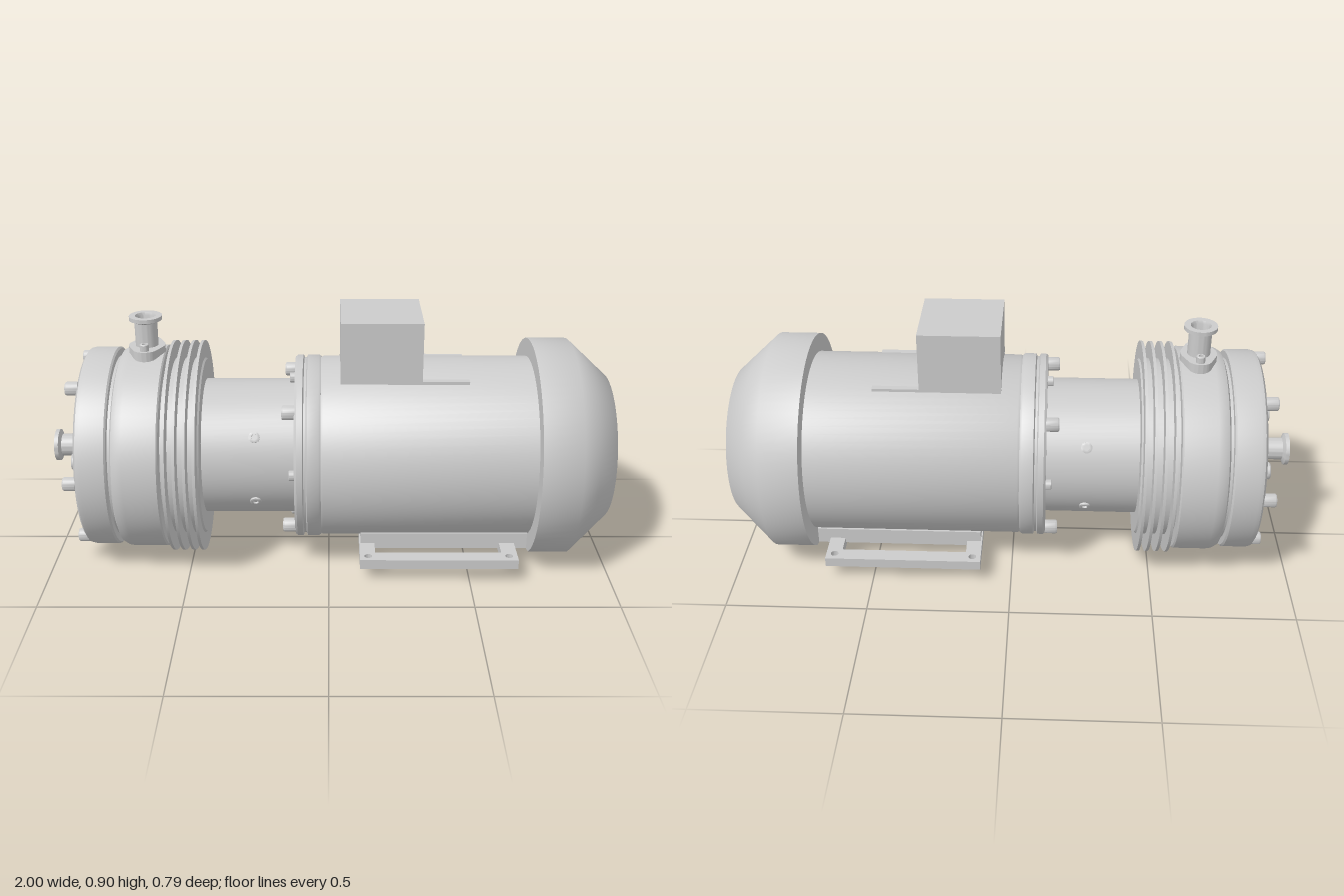
import * as THREE from 'three';
import { toCreasedNormals } from 'three/addons/utils/BufferGeometryUtils.js';

const AXIS = 0.387; // height of the shaft line
const FLOOR = 0.055; // flat underside of the motor
const grey = new THREE.MeshStandardMaterial({ color: 0xcccccc });

export function createModel() {
  const model = new THREE.Group();

  const add = (name, geometry, x = 0, y = 0, z = 0, parent = model) => {
    const mesh = new THREE.Mesh(geometry, grey);
    mesh.name = name;
    mesh.position.set(x, y, z);
    parent.add(mesh);
    return mesh;
  };
  const group = (name) => {
    const g = new THREE.Group();
    g.name = name;
    model.add(g);
    return g;
  };
  const lathe = (points, segments) =>
    new THREE.LatheGeometry(points.map(([r, h]) => new THREE.Vector2(r, h)), segments);

  // Turned part along the shaft; profile is [radius, x] from the pump end to the fan end
  const turned = (name, profile, { crease = 0.6, segments = 72, clip = false, stretch = 1 } = {}) => {
    const geo = lathe(profile, segments).rotateZ(-Math.PI / 2).scale(1, 1, stretch).translate(0, AXIS, 0);
    if (clip) {
      const p = geo.attributes.position;
      for (let i = 0; i < p.count; i++) p.setY(i, Math.max(p.getY(i), FLOOR));
    }
    return add(name, toCreasedNormals(geo, crease));
  };

  // Socket-head screw pointing up, standing on y = 0
  const screwGeometry = (r, h) => toCreasedNormals(lathe([
    [0, 0], [r, 0], [r, h * 0.9], [r * 0.88, h], [r * 0.5, h], [r * 0.5, h * 0.5], [0, h * 0.5],
  ], 16), 0.6);
  const axialScrew = (parent, name, x, radius, angle, r, h) => {
    const geo = screwGeometry(r, h).rotateZ(Math.PI / 2);
    add(name, geo, x, AXIS + radius * Math.sin(angle), radius * Math.cos(angle), parent);
  };

  // Hollow pipe stub with a clamp lip, standing on y = 0
  const stubGeometry = (h) => toCreasedNormals(lathe([
    [0.04, 0], [0.04, h - 0.022], [0.058, h - 0.014], [0.058, h], [0.036, h],
    [0.032, h - 0.01], [0.032, 0.01], [0, 0.01],
  ], 40), 0.6);

  // Motor with its grooved flange
  turned('motorBody', [
    [0, -0.03], [0.322, -0.03], [0.327, -0.02], [0.327, 0.73], [0, 0.73],
  ], { clip: true });
  turned('motorFlange', [
    [0, -0.12], [0.325, -0.12], [0.332, -0.112], [0.332, -0.092], [0.322, -0.088], [0.322, -0.08],
    [0.332, -0.076], [0.332, -0.036], [0.327, -0.028], [0, -0.028],
  ], { clip: true });
  turned('fanCover', [
    [0, 0.72], [0.393, 0.72], [0.393, 0.86], [0.332, 0.926], [0.263, 1], [0, 1],
  ], { crease: 1, clip: true });

  // Terminal box and the pad under it
  add('terminalBox', new THREE.BoxGeometry(0.285, 0.25, 0.29), 0.183, 0.775, 0);
  add('terminalPad', new THREE.BoxGeometry(0.45, 0.09, 0.29), 0.265, 0.645, 0);

  // Open foot frame with corner bolt holes
  const frame = new THREE.Shape();
  const rect = (path, a, b) => path.moveTo(-a, -b).lineTo(a, -b).lineTo(a, b).lineTo(-a, b).closePath();
  rect(frame, 0.28, 0.333);
  frame.holes.push(rect(new THREE.Path(), 0.225, 0.278));
  for (const sx of [-1, 1]) for (const sz of [-1, 1]) {
    const hole = new THREE.Path();
    hole.absarc(sx * 0.25, sz * 0.303, 0.014, 0, Math.PI * 2, true);
    frame.holes.push(hole);
  }
  const frameGeo = new THREE.ExtrudeGeometry(frame, { depth: 0.035, bevelEnabled: false, curveSegments: 8 });
  add('footFrame', frameGeo.rotateX(-Math.PI / 2), 0.39, FLOOR, 0);
  add('footPedestal', new THREE.BoxGeometry(0.6, 0.06, 0.42), 0.415, 0.1, 0);

  // Lantern between motor and pump
  turned('lantern', [[0, -0.47], [0.245, -0.47], [0.245, -0.11], [0, -0.11]]);
  const flangeScrews = group('flangeScrews');
  const lanternScrews = group('lanternScrews');
  for (let i = 0; i < 4; i++) {
    const a = Math.PI / 4 + i * Math.PI / 2;
    axialScrew(flangeScrews, 'flangeScrew', -0.118, 0.307, a, 0.025, 0.045);
    axialScrew(flangeScrews, 'smallFlangeScrew', -0.118, 0.265, a + Math.PI / 4, 0.018, 0.022);
    // Radial set screws at 30 degrees above and below the sides
    const b = [Math.PI / 6, Math.PI * 5 / 6, Math.PI * 7 / 6, Math.PI * 11 / 6][i];
    const s = add('lanternScrew', screwGeometry(0.02, 0.014), -0.26,
      AXIS + 0.238 * Math.sin(b), 0.238 * Math.cos(b), lanternScrews);
    s.rotation.x = Math.PI / 2 - b;
  }

  // Cooling fins on a core
  turned('finCore', [[0, -0.6], [0.322, -0.6], [0.322, -0.452], [0.315, -0.445], [0, -0.445]]);
  for (const x of [-0.559, -0.524, -0.489, -0.456]) {
    turned('coolingFin', [[0, x - 0.005], [0.385, x - 0.005], [0.385, x + 0.005], [0, x + 0.005]]);
  }

  // Pump casing and front cover
  turned('pumpCasing', [
    [0, -0.745], [0.335, -0.745], [0.352, -0.738], [0.363, -0.72], [0.366, -0.7],
    [0.366, -0.583], [0.36, -0.578], [0, -0.578],
  ], { stretch: 1.035 });
  turned('casingJoint', [[0, -0.77], [0.33, -0.77], [0.33, -0.735], [0, -0.735]]);
  turned('frontCover', [
    [0, -0.868], [0.105, -0.868], [0.115, -0.845], [0.27, -0.845], [0.28, -0.868], [0.345, -0.868],
    [0.357, -0.86], [0.361, -0.845], [0.361, -0.762], [0.355, -0.756], [0, -0.756],
  ]);

  // Ribs, bosses and screws on the front cover
  const coverRibs = group('coverRibs');
  const coverScrews = group('coverScrews');
  for (let i = 0; i < 6; i++) {
    const a = i * Math.PI / 3;
    const rib = add('coverRib', new THREE.BoxGeometry(0.03, 0.05, 0.2), -0.851,
      AXIS + 0.19 * Math.sin(a), 0.19 * Math.cos(a), coverRibs);
    rib.rotation.x = -a;
    axialScrew(coverScrews, 'outerScrew', -0.866, 0.33, a, 0.024, 0.044);
  }
  for (let i = 0; i < 4; i++) {
    const a = i * Math.PI / 2;
    const boss = new THREE.CylinderGeometry(0.042, 0.042, 0.04, 24).rotateZ(Math.PI / 2);
    add('innerBoss', boss, -0.85, AXIS + 0.148 * Math.sin(a), 0.148 * Math.cos(a), coverRibs);
    axialScrew(coverScrews, 'innerScrew', -0.868, 0.148, a, 0.031, 0.047);
    axialScrew(coverScrews, 'portScrew', -0.866, 0.07, a + Math.PI / 2, 0.018, 0.04);
  }

  // Suction port on the shaft line
  add('suctionPort', stubGeometry(0.135).rotateZ(Math.PI / 2), -0.865, AXIS, 0);

  // Discharge port on top with an oval flange
  const oval = new THREE.Shape();
  oval.absarc(0, 0.045, 0.045, 0.35, Math.PI - 0.35, false);
  oval.absarc(0, 0, 0.064, Math.PI - 0.45, Math.PI + 0.45, false);
  oval.absarc(0, -0.045, 0.045, Math.PI + 0.35, -0.35, false);
  oval.absarc(0, 0, 0.064, -0.45, 0.45, false);
  const ovalGeo = new THREE.ExtrudeGeometry(oval, { depth: 0.045, bevelEnabled: false, curveSegments: 16 });
  add('dischargeFlange', toCreasedNormals(ovalGeo.rotateX(-Math.PI / 2), 0.6), -0.645, 0.732, 0);
  add('dischargePort', stubGeometry(0.115), -0.645, 0.77, 0);
  for (const z of [-0.066, 0.066]) add('dischargeScrew', screwGeometry(0.016, 0.025), -0.645, 0.776, z);

  return model;
}
